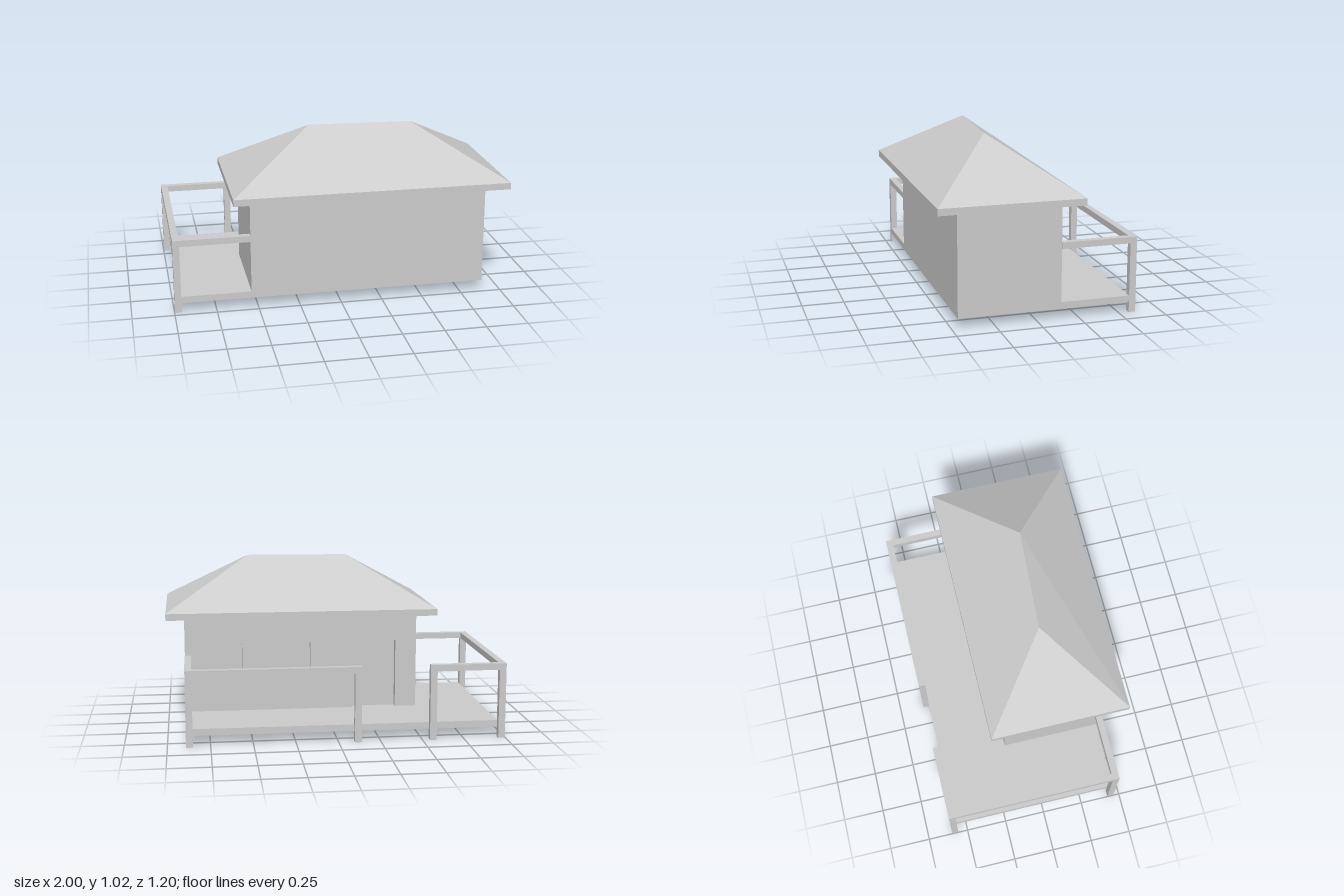
import * as THREE from 'three';

const material = new THREE.MeshStandardMaterial({ color: 0xcccccc, flatShading: true });

function add(parent, name, geometry) {
  const mesh = new THREE.Mesh(geometry, material);
  mesh.name = name;
  parent.add(mesh);
  return mesh;
}

// Box given by its limits on each axis
function block(parent, name, [x0, x1], [y0, y1], [z0, z1]) {
  const g = new THREE.BoxGeometry(x1 - x0, y1 - y0, z1 - z0);
  g.translate((x0 + x1) / 2, (y0 + y1) / 2, (z0 + z1) / 2);
  return add(parent, name, g);
}

// Hipped roof: four eave corners rising to a ridge with two ends
function hipRoofGeometry([x0, x1], [z0, z1], y, ridgeLeft, ridgeRight) {
  const a = [x0, y, z1], b = [x1, y, z1], c = [x1, y, z0], d = [x0, y, z0];
  const p = ridgeRight, q = ridgeLeft;
  const faces = [
    a, b, q, a, q, p, // front slope
    b, c, q,          // left hip
    c, d, p, c, p, q, // back slope
    d, a, p,          // right hip
  ];
  const g = new THREE.BufferGeometry();
  g.setAttribute('position', new THREE.Float32BufferAttribute(faces.flat(), 3));
  g.computeVertexNormals();
  return g;
}

export function createModel() {
  const model = new THREE.Group();
  model.name = 'house';

  const floor = 0.10, wallTop = 0.69;
  const wallX = [-0.54, 0.89], backZ = -0.145, frontZ = 0.465, backDepth = 0.08;

  // Deck the house stands on
  block(model, 'deck', [-0.957, 0.89], [0.06, floor], [-0.563, frontZ]);

  // House body, set behind the thick back wall
  block(model, 'houseBody', wallX, [floor, wallTop], [backZ + backDepth, frontZ]);

  // Back wall with a doorway and two windows
  const openings = [
    { name: 'door', x: [-0.41, -0.14], y: [floor, 0.52], depth: 0.04 },
    { name: 'window', x: [0.12, 0.32], y: [0.32, 0.52], depth: 0.045 },
    { name: 'window', x: [0.54, 0.735], y: [0.32, 0.52], depth: 0.065 },
  ];
  const [door, ...windows] = openings;
  const wall = new THREE.Shape([
    [wallX[0], floor], [door.x[0], floor], [door.x[0], door.y[1]], [door.x[1], door.y[1]],
    [door.x[1], floor], [wallX[1], floor], [wallX[1], wallTop], [wallX[0], wallTop],
  ].map(([x, y]) => new THREE.Vector2(x, y)));
  for (const { x, y } of windows) {
    wall.holes.push(new THREE.Path([
      [x[0], y[0]], [x[0], y[1]], [x[1], y[1]], [x[1], y[0]],
    ].map(([px, py]) => new THREE.Vector2(px, py))));
  }
  const wallGeometry = new THREE.ExtrudeGeometry(wall, { depth: backDepth, bevelEnabled: false });
  add(model, 'backWall', wallGeometry.translate(0, 0, backZ));
  for (const o of openings) {
    block(model, o.name, o.x, o.y, [backZ + o.depth, backZ + backDepth]);
  }

  // Roof: eave slab and hipped top with a slightly skewed ridge
  const roof = new THREE.Group();
  roof.name = 'roof';
  const eaveX = [-0.65, 1], eaveZ = [-0.25, 0.6], eaveY = 0.727;
  block(roof, 'eaves', eaveX, [0.687, eaveY], eaveZ);
  add(roof, 'hipRoof', hipRoofGeometry(eaveX, eaveZ, eaveY, [0.485, 1.025, 0.197], [-0.135, 1.025, 0.16]));
  model.add(roof);

  // Railing around the deck, open opposite the door
  const railing = new THREE.Group();
  railing.name = 'railing';
  const w = 0.04, railY = [0.415, 0.453], back = [-0.6, -0.6 + w], right = [-0.997, -0.997 + w];
  const front = [frontZ - w, frontZ], left = [0.853, 0.893];
  for (const [x, z] of [
    [left, back], [[-0.135, -0.095], back], [[-0.583, -0.543], back], [right, back], [right, front],
  ]) {
    block(railing, 'post', x, [0, railY[0]], z);
  }
  block(railing, 'backRail', [-0.135, left[1]], railY, back);
  block(railing, 'backRail', [right[0], -0.543], railY, back);
  block(railing, 'rightRail', right, railY, [back[1], front[0]]);
  block(railing, 'frontRail', [right[0], wallX[0]], railY, front);
  block(railing, 'leftRail', left, railY, [back[1], backZ]);
  model.add(railing);

  return model;
}
